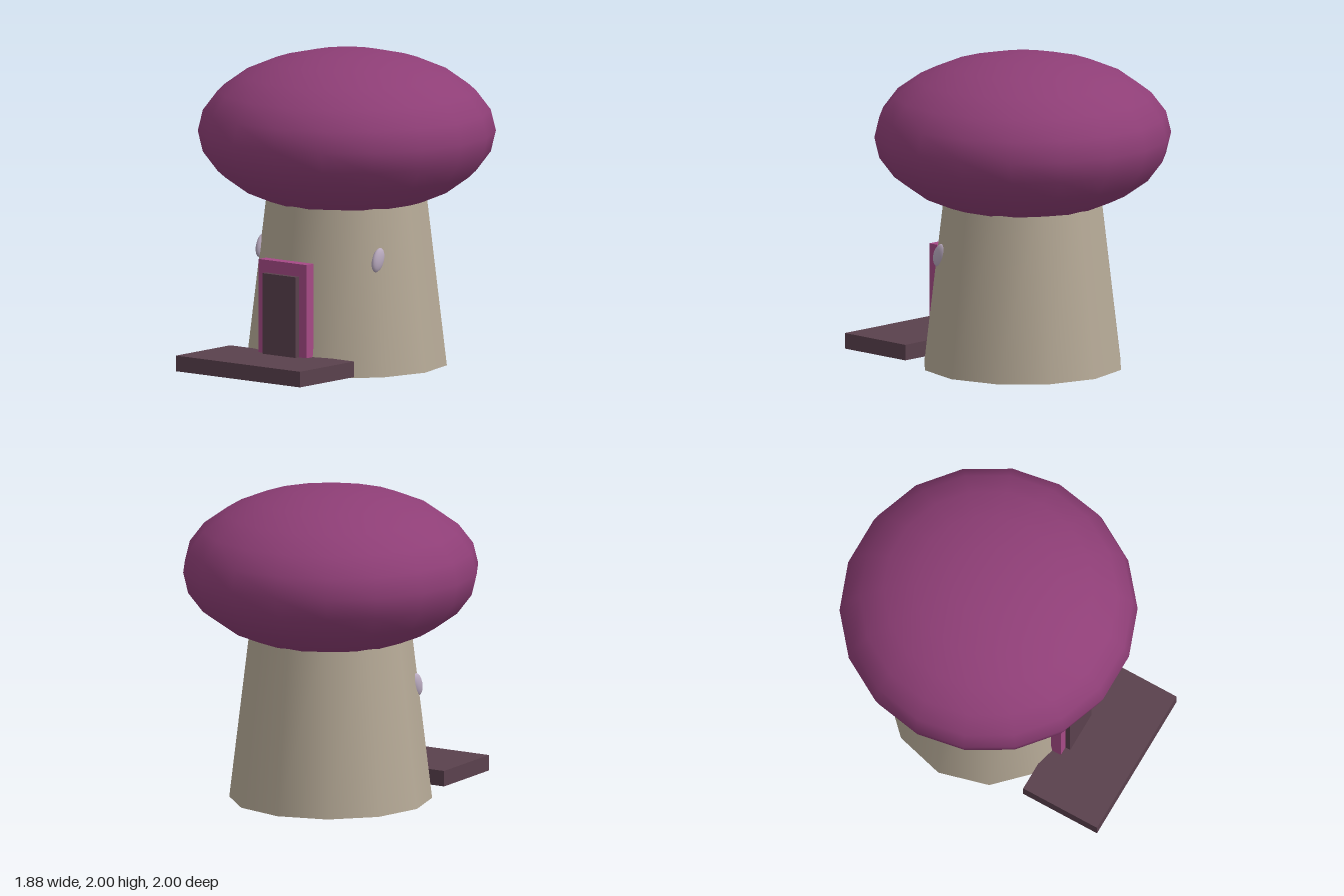
import * as THREE from 'three';

const mat = (color) => new THREE.MeshStandardMaterial({ color });

export function createModel() {
  const group = new THREE.Group();
  const capMat = mat(0x8e3e76);
  const frameMat = mat(0xa64a86);
  const woodMat = mat(0x5a414d);
  const stemMat = mat(0xb5a996);
  const glassMat = mat(0xb9aabf);
  const axisZ = -0.075;

  const add = (name, geometry, material, x, y, z) => {
    const mesh = new THREE.Mesh(geometry, material);
    mesh.name = name;
    mesh.position.set(x, y, z);
    group.add(mesh);
    return mesh;
  };
  // Box given by its half width and its y and z ranges
  const addBox = (name, material, hx, y0, y1, z0, z1) =>
    add(name, new THREE.BoxGeometry(2 * hx, y1 - y0, z1 - z0), material, 0, (y0 + y1) / 2, (z0 + z1) / 2);

  // Tapered stem, its top buried in the cap
  const stemHeight = 1.2;
  add('stem', new THREE.CylinderGeometry(0.497, 0.64, stemHeight, 12), stemMat, 0, stemHeight / 2, axisZ);

  // Flattened mushroom cap
  const cap = new THREE.SphereGeometry(1, 18, 12).scale(0.94, 0.515, 0.94);
  add('cap', cap, capMat, 0, 1.482, axisZ);

  // Porch slab, door frame and door
  addBox('porch', woodMat, 0.507, 0.025, 0.125, 0.465, 1.0);
  addBox('doorFrame', frameMat, 0.195, 0.1, 0.72, 0.49, 0.56);
  addBox('door', woodMat, 0.136, 0.1, 0.64, 0.51, 0.595);

  // Oval windows leaning back on both sides
  for (const side of [1, -1]) {
    const oval = new THREE.SphereGeometry(1, 16, 12).scale(0.027, 0.08, 0.05);
    const pane = add(side > 0 ? 'leftWindow' : 'rightWindow', oval, glassMat, side * 0.475, 0.735, 0.19);
    pane.rotation.x = -0.4;
  }
  return group;
}
